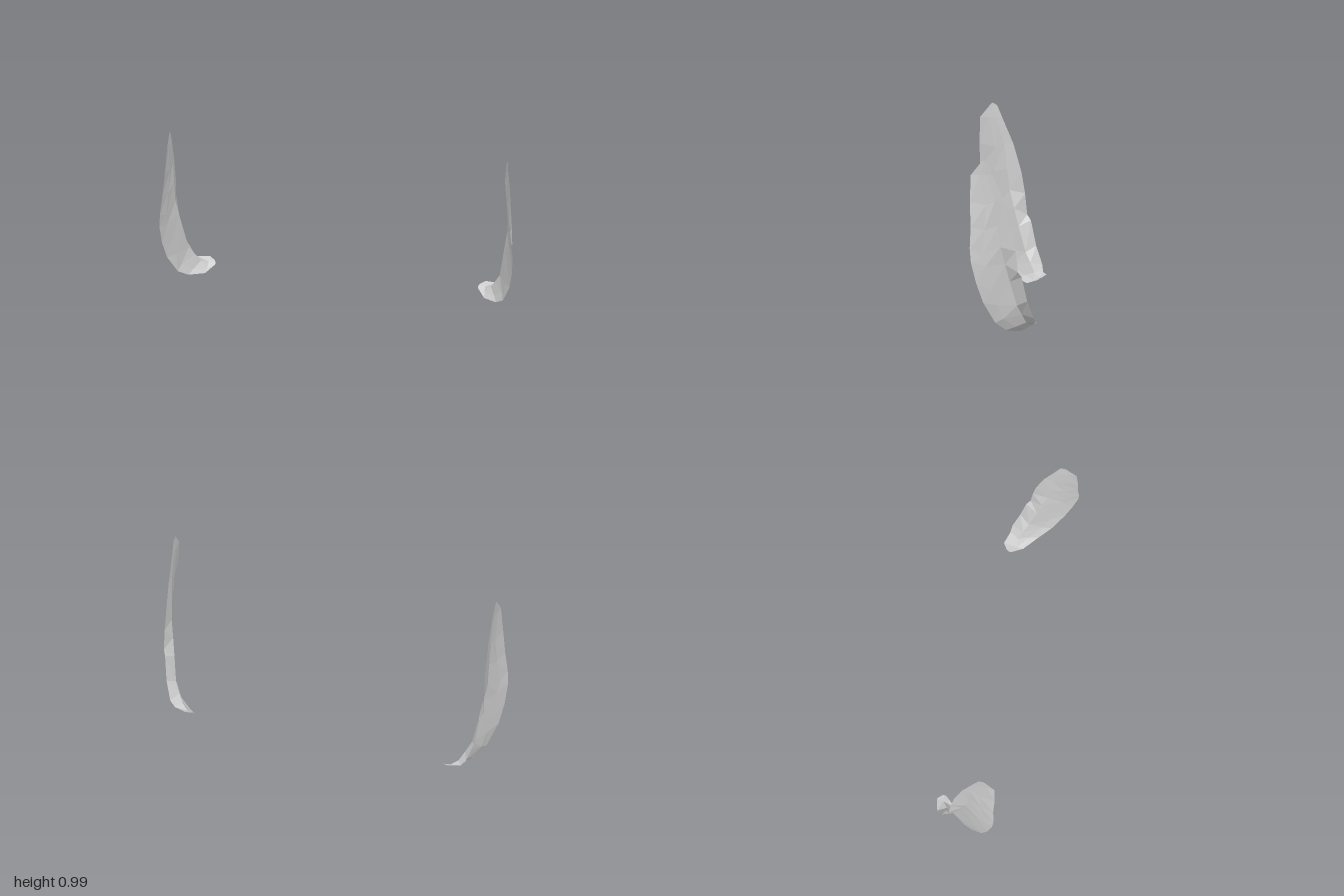
import * as THREE from 'three';

// Four lines run down each blade, from its tip to its curled foot: [x, y, z]
const frontEdge = [
  [0.955, 0.985, 0.125], [0.957, 0.91, 0.185], [0.968, 0.76, 0.19], [0.982, 0.62, 0.185],
  [0.995, 0.5, 0.19], [1.0, 0.42, 0.183], [0.99, 0.3, 0.153], [0.969, 0.19, 0.115],
  [0.92, 0.07, 0.05], [0.87, 0.02, -0.01], [0.79, 0.0, -0.08], [0.745, 0.025, -0.14],
];
const frontFace = [
  [0.955, 0.99, 0.115], [0.955, 0.91, 0.14], [0.955, 0.74, 0.1], [0.963, 0.6, 0.11],
  [0.972, 0.46, 0.12], [0.968, 0.4, 0.1], [0.952, 0.26, 0.07], [0.93, 0.17, 0.035],
  [0.908, 0.09, 0.005], [0.85, 0.035, -0.06], [0.785, 0.015, -0.115], [0.743, 0.03, -0.147],
];
const crease = [
  [0.955, 0.985, 0.105], [0.952, 0.91, 0.1], [0.95, 0.76, 0.05], [0.943, 0.62, 0.035],
  [0.94, 0.5, 0.02], [0.922, 0.4, -0.005], [0.905, 0.3, -0.03], [0.88, 0.16, -0.07],
  [0.85, 0.105, -0.097], [0.82, 0.055, -0.12], [0.782, 0.035, -0.15], [0.745, 0.036, -0.155],
];
const backEdge = [
  [0.955, 0.975, 0.09], [0.952, 0.91, 0.063], [0.95, 0.76, 0.0], [0.948, 0.6, -0.045],
  [0.95, 0.48, -0.065], [0.95, 0.36, -0.077], [0.935, 0.33, -0.098], [0.915, 0.19, -0.128],
  [0.88, 0.09, -0.163], [0.85, 0.055, -0.168], [0.78, 0.05, -0.188], [0.75, 0.04, -0.165],
];
const lines = [frontEdge, frontFace, crease, backEdge];

// Skin the lines with flat facets; side is +1 for left and -1 for right
function bladeGeometry(side) {
  const positions = [];
  const triangle = (a, b, c) => {
    for (const p of side > 0 ? [a, b, c] : [a, c, b]) positions.push(p[0] * side, p[1], p[2]);
  };
  for (let col = 0; col < lines.length - 1; col++) {
    for (let row = 0; row < frontEdge.length - 1; row++) {
      const a = lines[col][row], b = lines[col + 1][row];
      const c = lines[col][row + 1], d = lines[col + 1][row + 1];
      triangle(a, c, b);
      triangle(b, c, d);
    }
  }
  const geometry = new THREE.BufferGeometry();
  geometry.setAttribute('position', new THREE.Float32BufferAttribute(positions, 3));
  geometry.computeVertexNormals();
  return geometry;
}

export function createModel() {
  const model = new THREE.Group();
  model.name = 'pairOfBlades';
  const paleGrey = new THREE.MeshStandardMaterial({
    color: 0xcccccc, flatShading: true, side: THREE.DoubleSide,
  });
  paleGrey.name = 'paleGrey';

  // Mirrored pair of thin, creased blades
  for (const [name, side] of [['leftBlade', 1], ['rightBlade', -1]]) {
    const blade = new THREE.Mesh(bladeGeometry(side), paleGrey);
    blade.name = name;
    model.add(blade);
  }
  return model;
}
